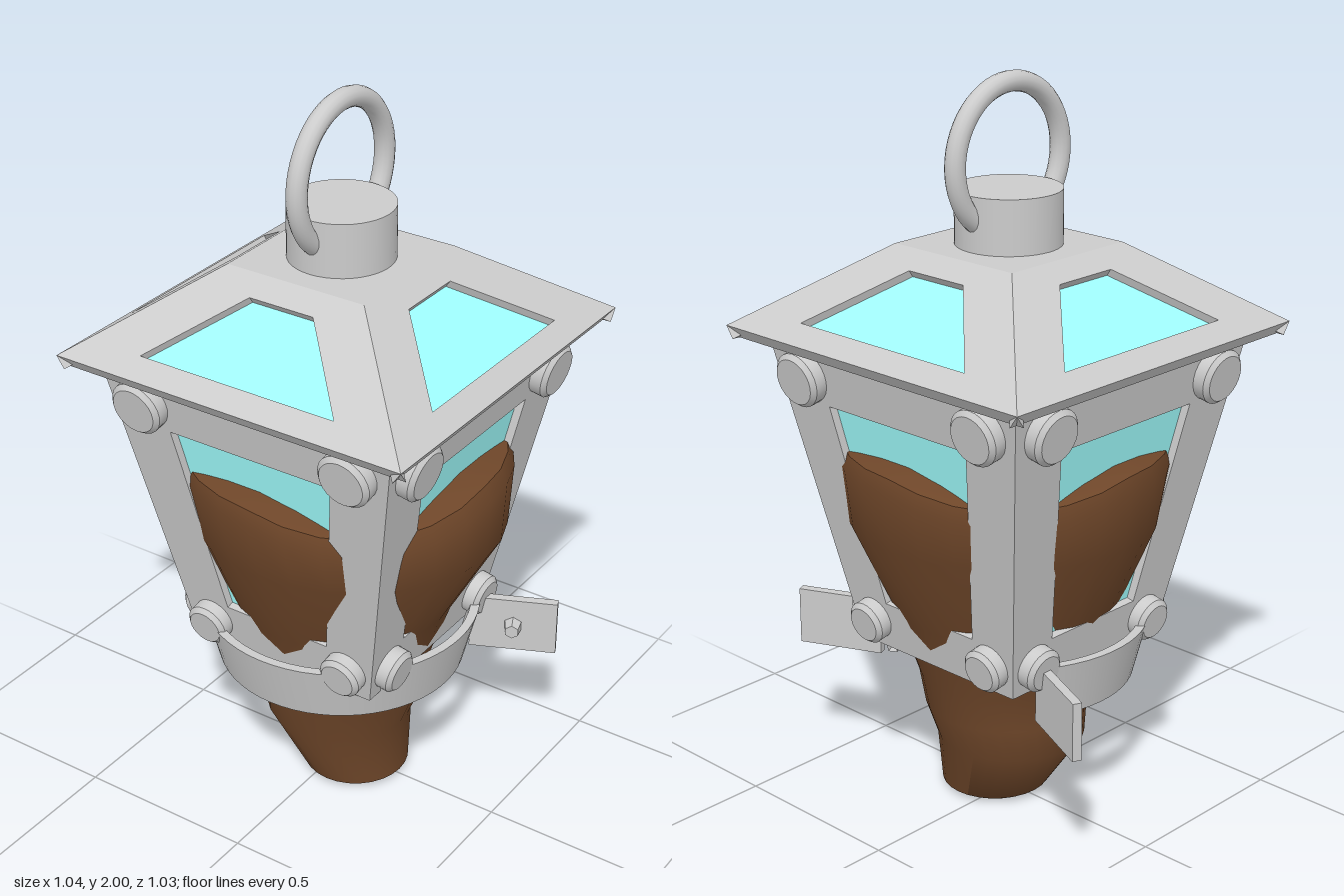
import * as THREE from 'three';
import { toCreasedNormals } from 'three/addons/utils/BufferGeometryUtils.js';

const metal = new THREE.MeshStandardMaterial({ color: 0xcccccc });
const glass = new THREE.MeshStandardMaterial({ color: 0xa0ffff, side: THREE.DoubleSide });
const wood = new THREE.MeshStandardMaterial({ color: 0x6e4629 });

function add(parent, name, geometry, material, x = 0, y = 0, z = 0) {
  const mesh = new THREE.Mesh(geometry, material);
  mesh.name = name;
  mesh.position.set(x, y, z);
  parent.add(mesh);
  return mesh;
}

const trapezoid = (y0, h0, y1, h1) =>
  [[-h0, y0], [h0, y0], [h1, y1], [-h1, y1]].map(([x, y]) => new THREE.Vector2(x, y));

// Bevelled round stud, flat side on z = 0, facing +z
function studGeometry(r, depth) {
  const profile = [[0, 0], [r, 0], [r, depth - 0.012], [r - 0.012, depth], [0, depth]]
    .map(([x, y]) => new THREE.Vector2(x, y));
  const geometry = new THREE.LatheGeometry(profile, 24);
  geometry.rotateX(Math.PI / 2);
  return toCreasedNormals(geometry, 0.6);
}

// Four sloping framed panes around the y axis; each row is [height, half width]
function framedSides(name, bottom, top, winBottom, winTop, depth, studs) {
  const sides = new THREE.Group();
  sides.name = name;
  const tilt = Math.atan2(top[1] - bottom[1], top[0] - bottom[0]);
  const along = (y) => (y - bottom[0]) / Math.cos(tilt);
  const outline = (a, b) => trapezoid(along(a[0]), a[1], along(b[0]), b[1]);

  const frame = new THREE.Shape(outline(bottom, top));
  frame.holes.push(new THREE.Path(outline(winBottom, winTop)));
  const frameGeometry = new THREE.ExtrudeGeometry(frame, { depth, bevelEnabled: false });
  frameGeometry.translate(0, 0, -depth);
  const paneGeometry = new THREE.ShapeGeometry(new THREE.Shape(outline(winBottom, winTop)));

  for (let i = 0; i < 4; i++) {
    const turn = new THREE.Group();
    turn.name = name + 'Side';
    turn.rotation.y = i * Math.PI / 2;
    const panel = new THREE.Group();
    panel.position.set(0, bottom[0], bottom[1]);
    panel.rotation.x = tilt;
    turn.add(panel);
    sides.add(turn);
    add(panel, name + 'Frame', frameGeometry, metal);
    add(panel, name + 'Glass', paneGeometry, glass, 0, 0, -0.022);
    for (const [x, y, r] of studs) {
      for (const s of [-1, 1]) add(panel, 'stud', studGeometry(r, 0.045), metal, s * x, along(y), 0);
    }
  }
  return sides;
}

// Lumpy wooden core: rings of [y, centre x, radius x, radius z]
function coreGeometry() {
  const rings = [
    [0, 0.05, 0.001, 0.001], [0, 0.053, 0.125, 0.125], [0.015, 0.05, 0.147, 0.15],
    [0.18, -0.008, 0.205, 0.2], [0.27, 0.01, 0.222, 0.222], [0.37, 0.014, 0.232, 0.24],
    [0.57, 0.01, 0.305, 0.31], [0.82, 0.025, 0.428, 0.41], [0.99, 0.015, 0.445, 0.44],
    [1.03, 0.01, 0.43, 0.43], [1.045, 0, 0.38, 0.38], [1.045, 0, 0.001, 0.001],
  ];
  const geometry = new THREE.LatheGeometry(rings.map(([y, , , rz]) => new THREE.Vector2(rz, y)), 28);
  const p = geometry.attributes.position;
  for (let i = 0; i < p.count; i++) {
    const [y, cx, rx, rz] = rings[i % rings.length];
    const x = cx + p.getX(i) * rx / rz;
    // the top rim sinks toward one corner
    const dip = y > 0.9 ? 0.5 * Math.max(0, x * p.getZ(i)) : 0;
    p.setXYZ(i, x, y - dip, p.getZ(i));
  }
  return toCreasedNormals(geometry, 0.7);
}

export function createModel() {
  const model = new THREE.Group();
  model.name = 'lantern';

  // Tapered body and hipped roof
  model.add(framedSides('body', [0.46, 0.279], [1.31, 0.437], [0.6, 0.16], [1.16, 0.245], 0.045,
    [[0.315, 1.232, 0.075], [0.215, 0.54, 0.06]]));
  model.add(framedSides('roof', [1.345, 0.515], [1.56, 0.205], [1.385, 0.29], [1.52, 0.095], 0.04, []));
  add(model, 'bodyFloor', new THREE.BoxGeometry(0.54, 0.02, 0.54), metal, 0, 0.475, 0);
  add(model, 'roofUnderside', new THREE.BoxGeometry(0.98, 0.012, 0.98), metal, 0, 1.318, 0);
  add(model, 'roofTop', new THREE.BoxGeometry(0.41, 0.03, 0.41), metal, 0, 1.545, 0);

  // Cap and carrying ring
  add(model, 'cap', new THREE.CylinderGeometry(0.14, 0.14, 0.15, 40), metal, 0, 1.63, 0);
  const ring = add(model, 'ring', new THREE.TorusGeometry(0.192, 0.027, 14, 56), metal, 0, 1.781, 0);
  ring.rotation.y = Math.PI / 2;

  add(model, 'woodenCore', coreGeometry(), wood);

  // Curved strap around the front, open at the back
  const section = [[0.315, 0.375], [0.34, 0.375], [0.38, 0.535], [0.355, 0.535], [0.315, 0.375]]
    .map(([r, y]) => new THREE.Vector2(r, y));
  const reach = THREE.MathUtils.degToRad(122);
  const strap = new THREE.LatheGeometry(section, 40, -reach, 2 * reach);
  add(model, 'strap', toCreasedNormals(strap, 0.6), metal).material =
    new THREE.MeshStandardMaterial({ color: 0xcccccc, side: THREE.DoubleSide });

  // Swept-back strap ears with hexagonal bolts
  for (const s of [-1, 1]) {
    const ear = new THREE.Group();
    ear.name = 'strapEar';
    ear.position.set(s * 0.405, 0.457, -0.245);
    ear.rotation.y = s * Math.atan2(0.1, 0.22);
    model.add(ear);
    add(ear, 'earPlate', new THREE.BoxGeometry(0.24, 0.16, 0.025), metal);
    const bolt = add(ear, 'bolt', new THREE.CylinderGeometry(0.02, 0.03, 0.055, 6), metal, 0, 0, 0.02);
    bolt.rotation.x = Math.PI / 2;
    bolt.material = new THREE.MeshStandardMaterial({ color: 0xcccccc, flatShading: true });
  }
  return model;
}
